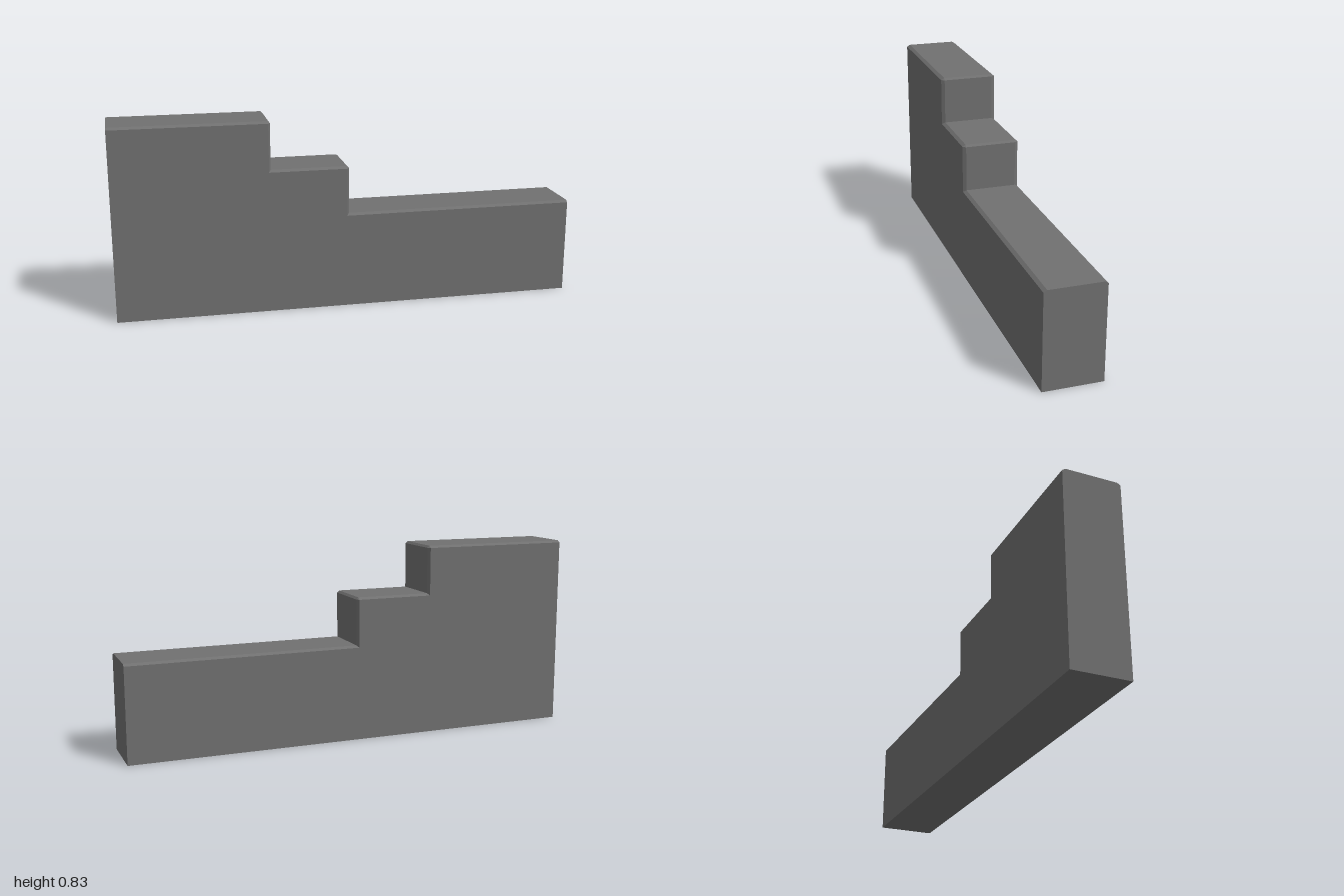
import * as THREE from 'three';

const BEVEL = 0.009;      // bevel size on treads and risers
const HALF = 0.125;       // half thickness
const FLAT = 0.111;       // half width of the flat treads

// Stepped outline, counter-clockwise. Treads and risers move in by inset;
// step noses are chamfered, closing to a single point at the side faces.
function profile(inset) {
  const points = [[-1, 0], [1, 0], [1, 0.417 - inset], [-inset, 0.417 - inset]];
  const nose = (x, y) => points.push([x - inset, y - BEVEL], [x - BEVEL, y - inset]);
  nose(0, 0.625);
  points.push([-0.335 - inset, 0.625 - inset]);
  nose(-0.335, 0.833);
  points.push([-1, 0.833 - inset]);
  return points.map(([x, y]) => new THREE.Vector2(x, y));
}

function steppedWallGeometry() {
  // Cross-sections from back to front: the outer two make the side bevels
  const rings = [[-HALF, BEVEL], [-FLAT, 0], [FLAT, 0], [HALF, BEVEL]]
    .map(([z, inset]) => profile(inset).map(p => new THREE.Vector3(p.x, p.y, z)));
  const points = [];
  const addTriangle = (a, b, c) => {
    if (!a.equals(b) && !b.equals(c) && !c.equals(a)) points.push(a, b, c);
  };
  const count = rings[0].length;
  for (let r = 0; r < rings.length - 1; r++) {
    for (let i = 0; i < count; i++) {
      const j = (i + 1) % count;
      addTriangle(rings[r][i], rings[r][j], rings[r + 1][j]);
      addTriangle(rings[r][i], rings[r + 1][j], rings[r + 1][i]);
    }
  }
  // Front and back faces
  const back = rings[0], front = rings[rings.length - 1];
  for (const [a, b, c] of THREE.ShapeUtils.triangulateShape(profile(BEVEL), [])) {
    addTriangle(front[a], front[b], front[c]);
    addTriangle(back[a], back[c], back[b]);
  }
  const geometry = new THREE.BufferGeometry().setFromPoints(points);
  geometry.computeVertexNormals();
  return geometry;
}

export function createModel() {
  const group = new THREE.Group();
  group.name = 'steppedWall';
  const material = new THREE.MeshStandardMaterial({ color: 0x707070, flatShading: true });
  const wall = new THREE.Mesh(steppedWallGeometry(), material);
  wall.name = 'wallBody';
  group.add(wall);
  return group;
}
